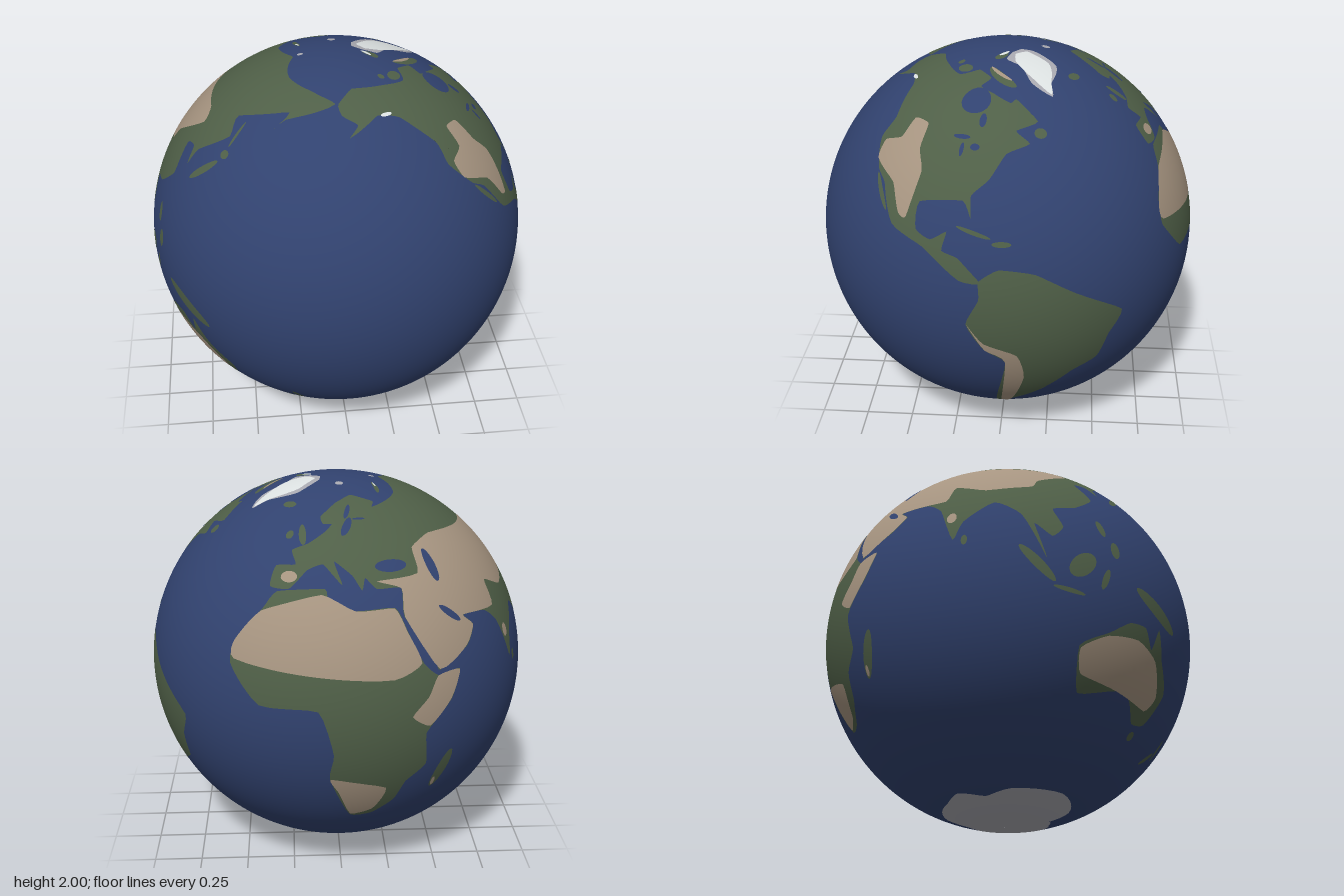
import * as THREE from 'three';

const { degToRad } = THREE.MathUtils;
const paint = (name, color) => Object.assign(new THREE.MeshStandardMaterial({ color }), { name });

// Coast: a softly rounded closed curve through longitude, latitude pairs
function coast(...flat) {
  const points = [];
  for (let i = 0; i < flat.length; i += 2) points.push(new THREE.Vector3(flat[i], flat[i + 1], 0));
  const curve = new THREE.CatmullRomCurve3(points, true, 'catmullrom', 0.25);
  return curve.getPoints(points.length * 4).slice(0, -1)
    .map((p) => new THREE.Vector2(p.x, THREE.MathUtils.clamp(p.y, -90, 90)));
}

// Oval: centre, half sizes and tilt in degrees, for islands, lakes and small seas
function oval(lon, lat, rx, ry, tilt = 0) {
  const curve = new THREE.EllipseCurve(lon, lat, rx, ry, 0, Math.PI * 2, false, degToRad(tilt));
  return curve.getPoints(20).slice(0, -1);
}

// Longitude/latitude to a point on the globe, which faces the Pacific
function toSphere([lon, lat], radius) {
  const theta = degToRad(lon + 163.5), phi = degToRad(lat);
  return [radius * Math.cos(phi) * Math.sin(theta), radius * Math.sin(phi), radius * Math.cos(phi) * Math.cos(theta)];
}

const span = (a, b) => Math.hypot((a[0] - b[0]) * Math.cos(degToRad((a[1] + b[1]) / 2)), a[1] - b[1]);

// Halve the longest edge until the triangle is small enough to follow the curve
function split(a, b, c, out) {
  const ab = span(a, b), bc = span(b, c), ca = span(c, a), longest = Math.max(ab, bc, ca);
  if (longest < 2.6) { out.push(a, b, c); return; }
  if (longest === bc) [a, b, c] = [b, c, a];
  else if (longest === ca) [a, b, c] = [c, a, b];
  const m = [(a[0] + b[0]) / 2, (a[1] + b[1]) / 2];
  split(a, m, c, out);
  split(m, b, c, out);
}

function patchGeometry(outline, radius) {
  if (THREE.ShapeUtils.isClockWise(outline)) outline.reverse();
  const corners = [];
  for (const tri of THREE.ShapeUtils.triangulateShape(outline, [])) {
    split(...tri.map((i) => outline[i].toArray()), corners);
  }
  const geometry = new THREE.BufferGeometry();
  geometry.setAttribute('position', new THREE.Float32BufferAttribute(corners.flatMap((p) => toSphere(p, radius)), 3));
  geometry.setAttribute('normal', new THREE.Float32BufferAttribute(corners.flatMap((p) => toSphere(p, 1)), 3));
  return geometry;
}

export function createModel() {
  const model = new THREE.Group();
  model.name = 'globe';
  const ocean = paint('ocean blue', 0x31426f);
  const green = paint('land green', 0x4f5f47);
  const tan = paint('desert tan', 0xa69480);
  const pale = paint('pale ice grey', 0xa9a9b0);
  const white = paint('ice white', 0xdde2e2);

  const sea = new THREE.Mesh(new THREE.SphereGeometry(0.997, 192, 96), ocean);
  sea.name = 'ocean';
  model.add(sea);

  // Thin painted layers, each just above the one before
  function layer(name, material, radius, outlines) {
    const group = new THREE.Group();
    group.name = name;
    for (const [part, outline] of Object.entries(outlines)) {
      const mesh = new THREE.Mesh(patchGeometry(outline, radius), material);
      mesh.name = part;
      group.add(mesh);
    }
    model.add(group);
  }

  layer('continents', green, 0.998, {
    northAmerica: coast(-168, 66, -156, 71.3, -128, 70, -108, 68, -95, 71.5, -82, 68.5, -87, 64.8, -78, 62.4, -68, 59,
      -64.5, 60.2, -56, 52.5, -66, 50, -61, 46, -70, 43.3, -75.7, 36, -81, 31.5, -80.4, 25.3, -83.5, 30, -97.3, 28,
      -97, 20.5, -92, 18.5, -87.3, 21.3, -88.3, 16, -83.5, 14.5, -77, 8, -83, 8.3, -94, 16, -105.5, 20, -112.5, 30,
      -117.5, 33, -124.2, 41, -124, 48, -134, 58.5, -146, 60.8, -163, 55, -158, 58.8, -166, 62),
    southAmerica: coast(-77.5, 8.5, -72, 12, -62, 10.5, -51, 4, -35.5, -5.2, -39, -13, -41, -22, -48.5, -26.5, -57.5, -37,
      -67, -46, -69, -51, -66, -55, -74.5, -51, -73.3, -38, -70.3, -19, -76.3, -14, -81.2, -5, -77.5, 3),
    africa: coast(-6, 35.8, 10, 37.2, 11.5, 33, 20, 31, 32.5, 31.2, 35.3, 24.5, 39, 15.5, 43.3, 11.5, 51, 11.9, 47.5, 4,
      39.5, -4.5, 40.7, -15, 35, -20.5, 32.5, -28, 26, -34, 18.5, -34.3, 12, -17.5, 13.2, -9, 9, 4, -7.5, 4.4, -17.4, 14.7,
      -16.5, 22, -9.8, 30.5),
    eurasia: coast(-9, 37, -2, 36.8, 3.2, 42.4, 9, 44.3, 16, 38.2, 13, 45.3, 19.5, 41, 22.5, 36.6, 24, 40.2, 27.5, 36.8,
      36, 36.5, 35, 28.5, 42.7, 16, 44, 12.8, 55.3, 17.5, 59.8, 22.5, 56.5, 25.8, 67, 24.9, 72.5, 20.5, 77.5, 8.1, 80.2, 14.5,
      89, 21.8, 97, 16.5, 103.7, 1.3, 100.5, 13.2, 105.5, 9, 109, 13, 106.5, 20, 114, 22.3, 121.8, 29, 119, 38.5, 124.5, 39.5,
      127, 34.5, 128.5, 40, 140, 48.5, 136, 54.7, 163, 61.5, 156.7, 51.5, 163, 59, 190, 66, 170, 70, 140, 72.5, 104, 77.5,
      80, 72.5, 67, 69, 38, 64.5, 41, 67, 26, 71, 13, 67, 5, 61, 7, 58, 11.5, 58, 8.3, 55, 1.6, 50.8, -4.5, 48.4, -1.5, 44,
      -9, 43.2),
    australia: coast(114, -22, 123, -17, 130, -12.5, 136.3, -12.2, 140, -17.5, 142.3, -10.8, 146.3, -19, 153.3, -27,
      150, -37.4, 143, -38.7, 137, -33.2, 131, -31.6, 116, -34.7),
  });

  layer('islands', green, 0.998, {
    baja: oval(-112.8, 27.5, 6, 0.8, -48),
    victoriaIsland: oval(-109, 71, 7, 1.8),
    banksIsland: oval(-121, 73, 3, 1.1),
    ellesmereIsland: oval(-78, 80, 10, 1.9, 8),
    baffinIsland: oval(-75, 69, 12, 2.2, -19),
    newfoundland: oval(-56, 48.8, 2.6, 1.6),
    cuba: oval(-79.5, 21.7, 5.3, 0.6, -15),
    hispaniola: oval(-71.3, 18.9, 2.8, 0.8),
    iceland: oval(-18.8, 65, 4.8, 1.4),
    britain: oval(-2, 53.8, 4, 1.6, -60),
    ireland: oval(-8, 53.4, 1.8, 1.5),
    novayaZemlya: oval(59.5, 73.8, 7.5, 1.2, 23),
    madagascar: oval(47, -18.8, 7, 2, 72),
    sriLanka: oval(80.8, 7.7, 0.9, 1.7),
    honshu: oval(136.8, 36.5, 6.5, 1.3, 42),
    hokkaido: oval(143, 43.4, 2, 1.3),
    sakhalin: oval(142.8, 50, 0.7, 4.2),
    luzon: oval(121.3, 15.5, 3, 1.2, -75),
    mindanao: oval(125, 8.5, 1.5, 2.8),
    sumatra: oval(101, 0, 7.3, 1.5, -47),
    java: oval(110, -7.3, 4.7, 0.7, -9),
    borneo: oval(114, 1, 5, 3, 45),
    sulawesi: oval(121, -2, 3.5, 1, 70),
    newGuinea: oval(141, -5.5, 10, 2.2, -23),
    newZealandNorth: oval(175.7, -38.7, 3.8, 1.2, -70),
    newZealandSouth: oval(170.3, -43.5, 4.3, 1.2, 42),
    tasmania: oval(146.6, -42, 1.7, 1.5),
  });

  layer('paleIce', pale, 0.998, {
    antarctica: coast(-180, -78, -158, -77, -125, -74, -75, -73, -66, -67, -57.5, -63.3, -61.5, -74, -28, -76, -10, -71,
      35, -69, 55, -66.5, 75, -69.5, 95, -66.5, 135, -66.2, 170, -71.5, 180, -78, 180, -90, -180, -90),
    greenland: coast(-44, 60, -53, 66, -56, 74, -71, 78, -60, 82, -33, 83.4, -18, 80.5, -22, 71, -39.5, 65),
    svalbard: oval(18, 78.7, 6, 1.3),
    severnayaZemlya: oval(99, 79.5, 4, 0.9),
  });

  layer('deserts', tan, 0.999, {
    northAmericanDesert: coast(-113, 50, -105, 49.5, -103.5, 42, -99.5, 36, -101, 23, -104, 23.5, -109, 31, -120, 35.5,
      -121, 41, -114, 43.5),
    andes: coast(-81, -5, -76.5, -11.5, -67, -16, -64.4, -27, -69, -52, -72.5, -50, -70.3, -19, -76.2, -14),
    sahara: coast(-17, 21, -16.3, 16, 10, 13.3, 30, 12, 38.5, 15.5, 35.2, 24.3, 32.3, 31, 20, 30.9, 9, 35.5, -10, 30),
    hornOfAfrica: coast(43.3, 11.4, 51, 11.8, 47.4, 4.2, 40.5, -2.5, 35, 1, 40, 6),
    kalahari: coast(12.3, -17.5, 29, -22, 26, -31.5, 18.7, -33.8, 14.6, -23),
    asianDesert: coast(28, 39, 44, 40, 46.5, 48, 60, 51.5, 88, 50.5, 113, 50, 119, 46, 104, 36, 101, 31, 86, 28.5,
      75, 32.5, 73, 25, 56.5, 25.9, 59.6, 22.5, 55.2, 17.7, 44, 13, 35.2, 28.4, 36.1, 36.4),
    australianDesert: coast(114.5, -22.5, 123, -17.8, 134, -16.5, 143, -20, 149.3, -29, 146, -34, 130, -31.8, 115.8, -29.5),
    deccan: oval(76.5, 16.5, 1.5, 2),
    iberianPlateau: oval(-3, 40.2, 3, 1.7),
    madagascarSouth: oval(45.2, -23.2, 0.7, 1.7),
    baffinCoast: oval(-76, 70.5, 10, 0.8, -17),
  });

  layer('whiteIce', white, 0.999, {
    greenlandIceSheet: coast(-44, 60.8, -51, 68, -60, 76.5, -55, 80.8, -30, 81, -26, 73, -39, 65.5),
    ellesmereIceCap: oval(-75, 81.3, 9, 0.8, 8),
    novayaZemlyaIce: oval(63, 75.3, 3, 0.5, 23),
    coastalGlacier: oval(-140.5, 60.6, 3.5, 0.6),
  });

  layer('inlandWater', ocean, 1, {
    hudsonBay: oval(-86.5, 59.5, 8, 4.6),
    jamesBay: oval(-80.6, 53, 1.6, 2.2),
    lakeSuperior: oval(-88, 47.5, 3.5, 0.7),
    lakeMichigan: oval(-86.9, 43.8, 0.8, 2),
    lakeHuron: oval(-82, 44.8, 1.8, 1),
    blackSea: oval(34.5, 43.2, 6.3, 1.9),
    caspianSea: oval(51, 41.8, 2.1, 5.2),
    persianGulf: oval(51.3, 27.3, 4.3, 1.1, -38),
    balticSea: oval(19, 57, 4.2, 1.8, 50),
    gulfOfBothnia: oval(20.3, 63, 3.6, 1.3, 55),
    gulfOfFinland: oval(26, 59.8, 3.5, 0.4),
  });

  model.position.y = 1;
  return model;
}
